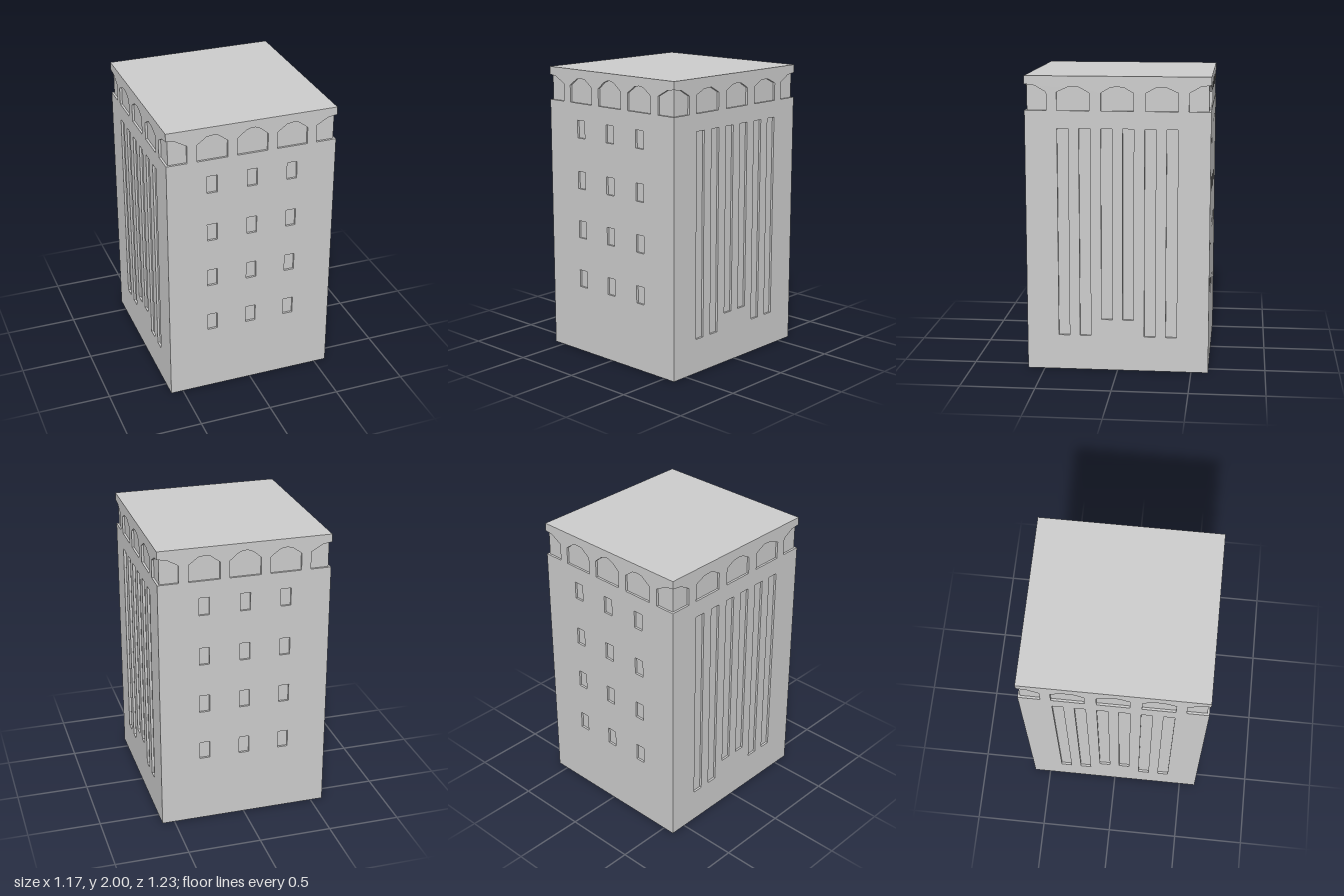
import * as THREE from 'three';

const HALF_X = 0.585, HALF_Z = 0.615, HEIGHT = 2, DEPTH = 0.015;
const SILL = 1.772;
const material = new THREE.MeshStandardMaterial({ color: 0xcccccc });

const vectors = (points) => points.map(([x, y]) => new THREE.Vector2(x, y));
const mirror = (points) => points.map(([x, y]) => [-x, y]).reverse();

// Counter-clockwise rectangle
const rect = (x0, x1, y0, y1) => [[x0, y0], [x1, y0], [x1, y1], [x0, y1]];

// Counter-clockwise arch: flat sill, straight jambs, faceted crown
const arch = (x, half, crown) => [
  [x - half, SILL], [x + half, SILL],
  ...crown.map(([dx, y]) => [x + dx, y]),
];

function addMesh(group, name, geometry) {
  const mesh = new THREE.Mesh(geometry, material);
  mesh.name = name;
  group.add(mesh);
  return mesh;
}

// Jambs, sill and soffit running inward from the edge of an opening
function revealGeometry(points, half, closed) {
  const positions = [];
  const count = closed ? points.length : points.length - 1;
  for (let i = 0; i < count; i++) {
    const [ax, ay] = points[i];
    const [bx, by] = points[(i + 1) % points.length];
    const inner = half - DEPTH;
    positions.push(ax, ay, half, bx, by, half, bx, by, inner);
    positions.push(ax, ay, half, bx, by, inner, ax, ay, inner);
  }
  const geometry = new THREE.BufferGeometry();
  geometry.setAttribute('position', new THREE.Float32BufferAttribute(positions, 3));
  geometry.computeVertexNormals();
  return geometry;
}

// One wall: sheet with openings, open corner arches and all reveals
function createFacade(name, width, distance, openings, corner) {
  const group = new THREE.Group();
  group.name = name;
  const outline = [
    [-width, 0], [width, 0], ...[...corner].reverse(),
    [width, HEIGHT], [-width, HEIGHT], ...mirror(corner).reverse(),
  ];
  const shape = new THREE.Shape(vectors(outline));
  for (const { points } of openings) shape.holes.push(new THREE.Path(vectors(points)));
  addMesh(group, 'wall', new THREE.ShapeGeometry(shape)).position.z = distance;
  for (const { part, points } of openings) {
    addMesh(group, part, revealGeometry(points, distance, true));
  }
  addMesh(group, 'cornerArchReveal', revealGeometry(corner, distance, false));
  addMesh(group, 'cornerArchReveal', revealGeometry(mirror(corner), distance, false));
  return group;
}

function windowFacade(name) {
  const openings = [];
  // Four rows of three small windows
  for (const top of [1.655, 1.3, 0.95, 0.595]) {
    for (const x of [-0.278, 0, 0.278]) {
      openings.push({ part: 'windowReveal', points: rect(x - 0.035, x + 0.035, top - 0.122, top) });
    }
  }
  // Three whole arches
  const middle = [[0.105, 1.89], [0.05, 1.936], [0.015, 1.95], [-0.015, 1.95], [-0.05, 1.936], [-0.105, 1.89]];
  const outer = [[0.105, 1.888], [0.04, 1.936], [0, 1.942], [-0.04, 1.936], [-0.105, 1.888]];
  openings.push({ part: 'archReveal', points: arch(0, 0.105, middle) });
  for (const x of [-0.275, 0.275]) openings.push({ part: 'archReveal', points: arch(x, 0.105, outer) });
  const corner = [[HALF_X, 1.946], [0.525, 1.938], [0.445, 1.893], [0.445, SILL], [HALF_X, SILL]];
  return createFacade(name, HALF_X, HALF_Z, openings, corner);
}

function slotFacade(name) {
  const openings = [];
  // Six tall slots, the middle pair shorter
  for (const [x, bottom] of [[0.072, 0.355], [0.218, 0.24], [0.363, 0.24]]) {
    for (const side of [-1, 1]) {
      openings.push({ part: 'slotReveal', points: rect(side * x - 0.037, side * x + 0.037, bottom, 1.655) });
    }
  }
  // Three whole arches
  const middle = [[0.108, 1.89], [0.045, 1.926], [0, 1.932], [-0.045, 1.926], [-0.108, 1.89]];
  const outer = [[0.108, 1.893], [0.035, 1.926], [-0.035, 1.93], [-0.108, 1.89]];
  openings.push({ part: 'archReveal', points: arch(0, 0.108, middle) });
  const right = arch(0.293, 0.108, outer);
  openings.push({ part: 'archReveal', points: right });
  openings.push({ part: 'archReveal', points: mirror(right) });
  const corner = [[HALF_Z, 1.946], [0.545, 1.936], [0.47, 1.893], [0.47, SILL], [HALF_Z, SILL]];
  return createFacade(name, HALF_Z, HALF_X, openings, corner);
}

export function createModel() {
  const model = new THREE.Group();
  model.name = 'towerBlock';

  // Inner block forms the back of every recess
  addMesh(model, 'core', new THREE.BoxGeometry(2 * (HALF_X - DEPTH), HEIGHT - 0.02, 2 * (HALF_Z - DEPTH)))
    .position.y = HEIGHT / 2;

  // Flat roof and underside
  const roof = addMesh(model, 'roof', new THREE.PlaneGeometry(2 * HALF_X, 2 * HALF_Z));
  roof.rotation.x = -Math.PI / 2;
  roof.position.y = HEIGHT;
  const base = addMesh(model, 'base', new THREE.PlaneGeometry(2 * HALF_X, 2 * HALF_Z));
  base.rotation.x = Math.PI / 2;

  // Opposite walls match
  const walls = [
    windowFacade('frontFacade'), slotFacade('leftFacade'),
    windowFacade('backFacade'), slotFacade('rightFacade'),
  ];
  walls.forEach((wall, i) => {
    wall.rotation.y = i * Math.PI / 2;
    model.add(wall);
  });
  return model;
}
